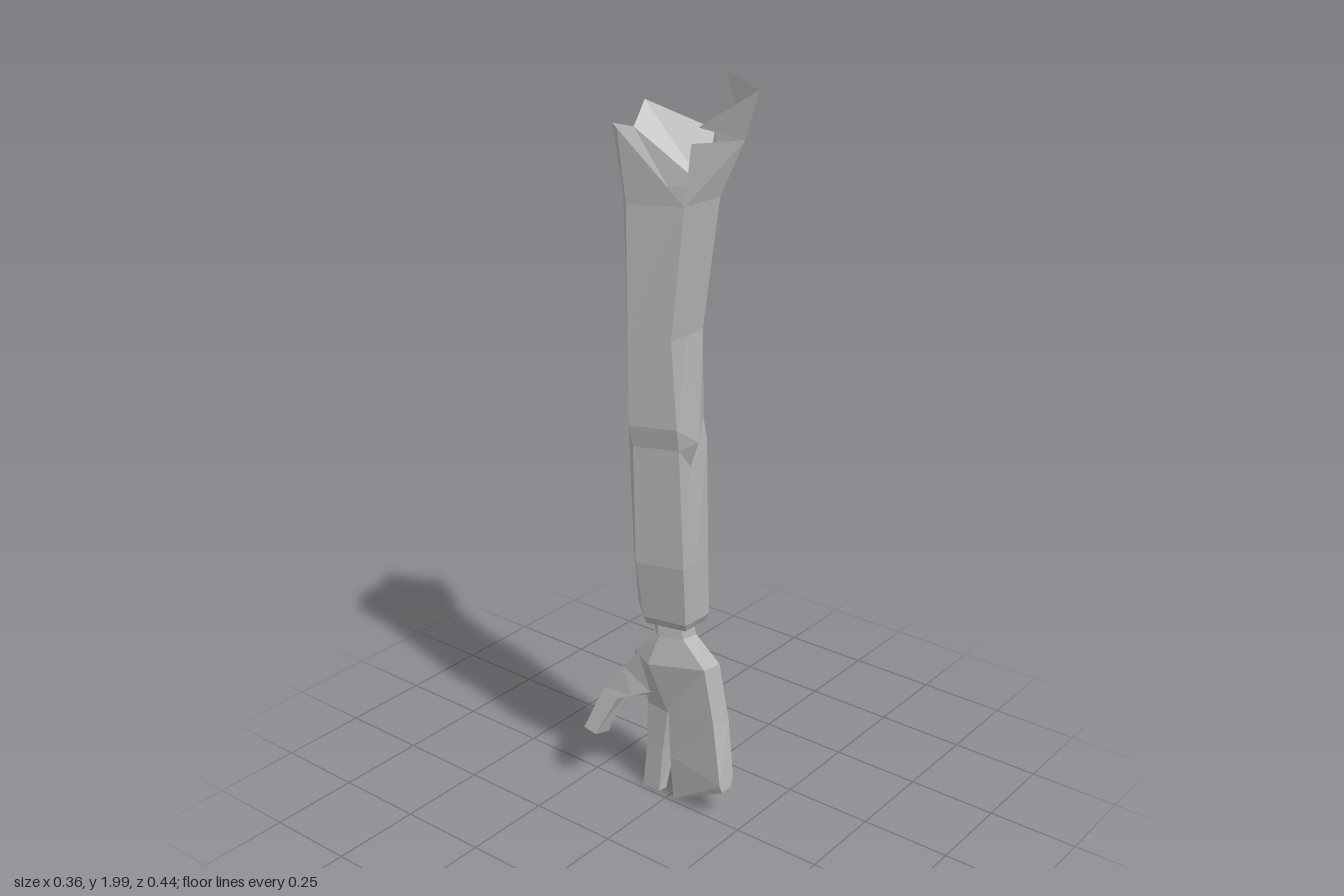
import * as THREE from 'three';

const grey = new THREE.MeshStandardMaterial({ color: 0xb2b2b2, flatShading: true, side: THREE.DoubleSide });
grey.name = 'grey';

// Mesh from convex polygons, each a counter-clockwise list of [x, y, z] corners
function polyMesh(name, polygons) {
  const pos = [];
  for (const p of polygons) {
    for (let i = 1; i < p.length - 1; i++) pos.push(...p[0], ...p[i], ...p[i + 1]);
  }
  const geo = new THREE.BufferGeometry();
  geo.setAttribute('position', new THREE.Float32BufferAttribute(pos, 3));
  geo.computeVertexNormals();
  const mesh = new THREE.Mesh(geo, grey);
  mesh.name = name;
  return mesh;
}

// Skin over rings listed from top to bottom, corners counter-clockwise seen from above
function loft(name, rings, capEnd = false) {
  const faces = [];
  for (let r = 0; r < rings.length - 1; r++) {
    const a = rings[r], b = rings[r + 1], n = a.length;
    for (let i = 0; i < n; i++) {
      const j = (i + 1) % n;
      faces.push([b[i], b[j], a[j], a[i]]);
    }
  }
  if (capEnd) faces.push([...rings[rings.length - 1]].reverse());
  return polyMesh(name, faces);
}

// Level ring from [x, z] pairs
const level = (y, pts) => pts.map(([x, z]) => [x, y, z]);

// Sleeve ring: six corners plus the middle of the front face
function sleeveRing(y, fl, fr, r, br, bl, l, mid = {}) {
  const ring = level(y, [fl, [(fl[0] + fr[0]) / 2, (fl[1] + fr[1]) / 2], fr, r, br, bl, l]);
  if (mid.y) ring[1] = [-0.03, mid.y, mid.z];
  return ring;
}

export function createModel() {
  const arm = new THREE.Group();
  arm.name = 'arm';

  // Sleeve with a fold at the elbow and a tucked-in cuff
  const top = sleeveRing(1.73, [-0.10, 0.135], [0.04, 0.135], [0.09, 0.05], [0.045, -0.03], [-0.08, -0.065], [-0.155, 0.005]);
  const sleeve = [
    top,
    sleeveRing(1.4, [-0.11, 0.105], [0.015, 0.105], [0.085, 0.035], [0.04, -0.055], [-0.07, -0.065], [-0.147, 0]),
    sleeveRing(1.17, [-0.10, 0.115], [0.015, 0.11], [0.11, 0.03], [0.055, -0.055], [-0.06, -0.07], [-0.145, 0], { y: 1.12, z: 0.13 }),
    sleeveRing(1.11, [-0.085, 0.11], [0.02, 0.118], [0.11, 0.03], [0.055, -0.055], [-0.06, -0.07], [-0.13, 0], { y: 1.05, z: 0.105 }),
    sleeveRing(0.78, [-0.075, 0.118], [0.03, 0.118], [0.11, 0.03], [0.06, -0.065], [-0.04, -0.075], [-0.11, -0.01]),
    sleeveRing(0.61, [-0.055, 0.11], [0.04, 0.115], [0.11, 0.03], [0.065, -0.07], [-0.015, -0.08], [-0.08, -0.01]),
    sleeveRing(0.585, [-0.04, 0.10], [0.04, 0.10], [0.095, 0.03], [0.055, -0.06], [-0.01, -0.07], [-0.065, -0.01]),
    sleeveRing(0.59, [-0.005, 0.05], [0.04, 0.05], [0.075, 0.02], [0.05, -0.04], [0, -0.04], [-0.035, 0]),
  ];
  arm.add(loft('sleeve', sleeve));

  // Torn panels around the open shoulder
  const [fl, fm, fr, r, br, bl, l] = top;
  const frontLeft = [-0.10, 1.88, 0.155], frontRight = [0.088, 1.86, 0.17];
  const sideLow = [0.15, 1.86, 0.035], backPeak = [0.058, 1.93, -0.11];
  const backLow = [0.015, 1.87, -0.11], backCorner = [-0.10, 1.90, -0.08];
  const flapFront = [0.075, 1.985, 0.218], flapBack = [0.18, 2.0, 0.043];
  const spike = [-0.18, 1.91, 0];
  arm.add(polyMesh('shoulderPanels', [
    [fl, fm, fr, frontRight, frontLeft],
    [fr, r, sideLow, frontRight],
    [r, br, backLow, backPeak, sideLow],
    [br, bl, backCorner, backLow],
    [bl, l, spike, backCorner],
    [l, fl, spike],
  ]));
  arm.add(polyMesh('shoulderFlaps', [
    [frontRight, sideLow, flapBack, flapFront],
    [frontRight, flapFront, [-0.10, 1.92, 0.175]],
  ]));

  // Wrist and palm
  arm.add(loft('palm', [
    level(0.6, [[-0.005, 0.05], [0.04, 0.055], [0.075, 0.02], [0.05, -0.04], [0, -0.04], [-0.035, 0]]),
    level(0.53, [[0, 0.06], [0.045, 0.07], [0.078, 0.02], [0.055, -0.035], [0, -0.035], [-0.03, 0]]),
    level(0.45, [[0.015, 0.12], [0.07, 0.13], [0.108, 0.02], [0.075, -0.075], [-0.01, -0.10], [-0.05, -0.02]]),
    level(0.28, [[0.015, 0.155], [0.07, 0.165], [0.10, 0.03], [0.07, -0.075], [0.02, -0.075], [0.01, 0]]),
  ], true));

  // Three joined fingers with a slanting tip
  arm.add(loft('joinedFingers', [
    level(0.29, [[0.015, 0.153], [0.07, 0.163], [0.10, 0.03], [0.095, -0.005], [0.02, -0.005]]),
    [[-0.01, 0.13, 0.195], [0.05, 0.14, 0.195], [0.08, 0.14, 0.06], [0.08, 0.14, 0.008], [0.015, 0.14, 0.005]],
    [[-0.005, 0.11, 0.2], [0.035, 0.11, 0.2], [0.05, 0.03, 0.09], [0.04, 0.01, 0.02], [0.01, 0.01, 0.02]],
  ], true));

  // Index finger
  arm.add(loft('indexFinger', [
    level(0.3, [[0.02, -0.005], [0.09, -0.005], [0.07, -0.078], [0.02, -0.078]]),
    level(0.15, [[0.02, -0.025], [0.08, -0.025], [0.07, -0.08], [0.02, -0.08]]),
    level(0.01, [[0.015, -0.035], [0.042, -0.03], [0.04, -0.09], [0.015, -0.092]]),
  ], true));

  // Thumb, reaching backward then down
  arm.add(loft('thumb', [
    [[-0.04, 0.36, -0.02], [0.05, 0.32, -0.05], [0.07, 0.46, -0.075], [-0.03, 0.46, -0.07]],
    [[-0.05, 0.33, -0.08], [0.02, 0.30, -0.09], [0.04, 0.40, -0.125], [-0.03, 0.40, -0.125]],
    [[-0.055, 0.31, -0.125], [0, 0.29, -0.14], [0.0, 0.305, -0.2], [-0.045, 0.32, -0.18]],
    [[-0.10, 0.20, -0.168], [-0.04, 0.18, -0.172], [-0.035, 0.18, -0.213], [-0.09, 0.20, -0.218]],
  ], true));

  return arm;
}
